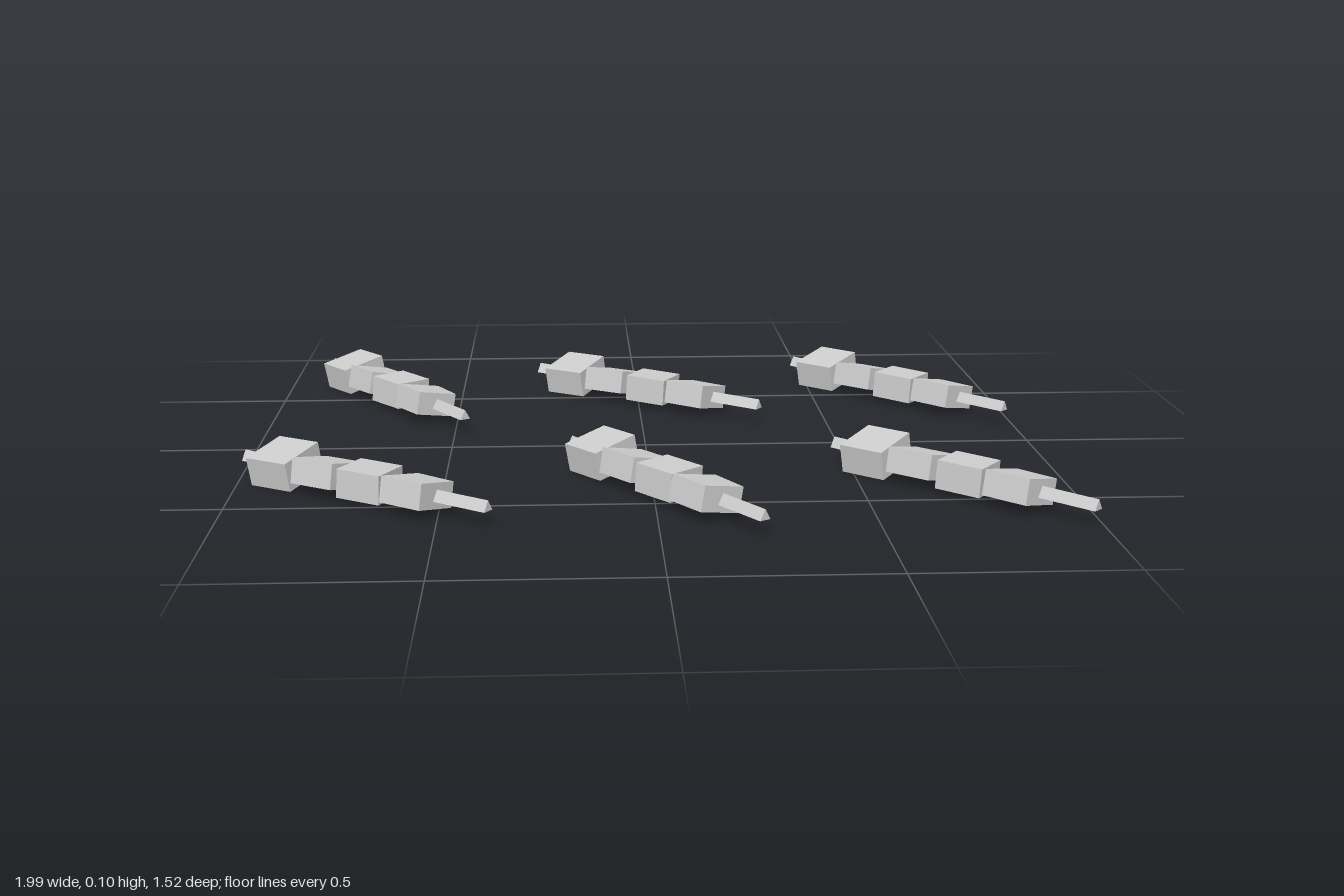
import * as THREE from 'three';

const LENGTH = 0.75;
const material = new THREE.MeshStandardMaterial({ color: 0xcccccc, flatShading: true });

// Skewer centres on the ground plane and heading in degrees: [x, z, angle]
const SKEWERS = [
  [-0.68, -0.445, 56.3], [0.02, -0.44, 37.5], [0.725, -0.44, 47.8],
  [-0.685, 0.44, 35.8], [0.02, 0.44, 55.9], [0.725, 0.44, 46.6],
];

// Chunks: distance along the stick, size, tilt, taper of the far end
const CHUNKS = [
  { at: 0.13, size: [0.12, 0.073, 0.126], tilt: [0.2, 0.06, 0], taper: 1 },
  { at: 0.27, size: [0.125, 0.062, 0.117], tilt: [-0.21, 0, 0.03], taper: 1 },
  { at: 0.4, size: [0.113, 0.07, 0.108], tilt: [-0.03, 0.18, -0.04], taper: 1 },
  { at: 0.545, size: [0.117, 0.062, 0.124], tilt: [-0.19, -0.05, 0], taper: 0.88 },
];

function chunkGeometry({ size, taper }) {
  const geometry = new THREE.BoxGeometry(...size);
  const p = geometry.attributes.position;
  for (let i = 0; i < p.count; i++) {
    if (p.getX(i) > 0) p.setZ(i, p.getZ(i) * taper);
  }
  geometry.computeVertexNormals();
  return geometry;
}

// Three-sided stick along x, with one edge on top
const stickGeometry = new THREE.CylinderGeometry(0.017, 0.017, LENGTH, 3)
  .rotateX(-Math.PI / 2).rotateY(Math.PI / 2);
const chunkGeometries = CHUNKS.map(chunkGeometry);

function createSkewer() {
  const skewer = new THREE.Group();
  const stick = new THREE.Mesh(stickGeometry, material);
  stick.name = 'stick';
  stick.position.y = 0.048;
  skewer.add(stick);

  CHUNKS.forEach(({ at, tilt }, i) => {
    const chunk = new THREE.Mesh(chunkGeometries[i], material);
    chunk.name = `meatChunk${i + 1}`;
    chunk.position.set(at - LENGTH / 2, 0.05, 0);
    chunk.rotation.set(...tilt);
    skewer.add(chunk);
  });
  return skewer;
}

export function createModel() {
  const model = new THREE.Group();
  model.name = 'skewers';
  SKEWERS.forEach(([x, z, angle], i) => {
    const skewer = createSkewer();
    skewer.name = `skewer${i + 1}`;
    skewer.position.set(x, 0, z);
    skewer.rotation.y = -THREE.MathUtils.degToRad(angle);
    model.add(skewer);
  });
  return model;
}
